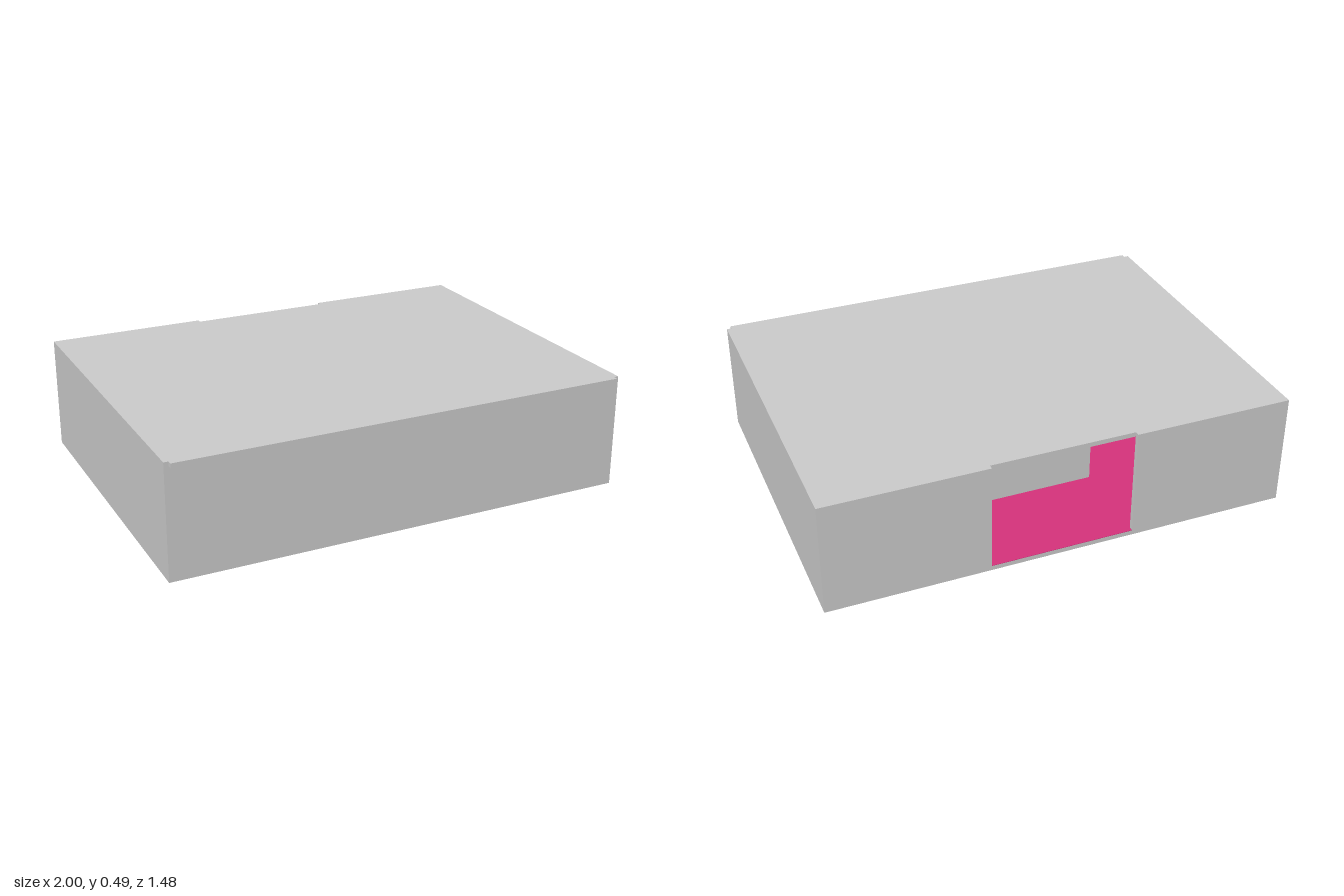
import * as THREE from 'three';

const grey = new THREE.MeshStandardMaterial({ color: 0xcccccc });
const pink = new THREE.MeshStandardMaterial({ color: 0xd6337c });

const T = 0.02; // board thickness
const H = 0.49; // full height
const W = 1; // half width
const BACK = -0.74;
const FRONT = 0.72; // face of the front wall
const GAP = 0.31; // half width of the back opening

// Box given by its minimum and maximum corners
function board(name, [x0, y0, z0], [x1, y1, z1], material = grey) {
  const geometry = new THREE.BoxGeometry(x1 - x0, y1 - y0, z1 - z0);
  const mesh = new THREE.Mesh(geometry, material);
  mesh.position.set((x0 + x1) / 2, (y0 + y1) / 2, (z0 + z1) / 2);
  mesh.name = name;
  return mesh;
}

export function createModel() {
  const model = new THREE.Group();
  model.name = 'box';

  // Base board with a coloured lining on top, both reaching into the opening
  model.add(board('base', [-W + T, 0, BACK + T], [W - T, T, FRONT - T]));
  model.add(board('sill', [-GAP, 0, BACK], [GAP, T, BACK + T]));
  model.add(board('floorLining', [-W + T, T, BACK + T], [W - T, T + 0.002, FRONT - T], pink));
  model.add(board('sillLining', [-GAP, T, BACK], [GAP, T + 0.002, BACK + T], pink));

  // Side walls
  model.add(board('leftWall', [W - T, 0, BACK], [W, H, FRONT]));
  model.add(board('rightWall', [-W, 0, BACK], [-W + T, H, FRONT]));

  // Back wall in two halves, either side of the opening
  model.add(board('leftBackWall', [GAP, 0, BACK], [W - T, H, BACK + T]));
  model.add(board('rightBackWall', [-W + T, 0, BACK], [-GAP, H, BACK + T]));

  // Front wall under the lid
  model.add(board('frontWall', [-W + T, 0, FRONT - T], [W - T, H - T, FRONT]));

  // Lid set between the walls, with a small lip over the front
  model.add(board('lid', [-W + T, H - T, BACK + T], [W - T, H, FRONT + T]));

  // Upright panel standing inside, behind the opening
  model.add(board('innerPanel', [-GAP, T, -0.33], [GAP, 0.4, -0.33 + T]));

  return model;
}
